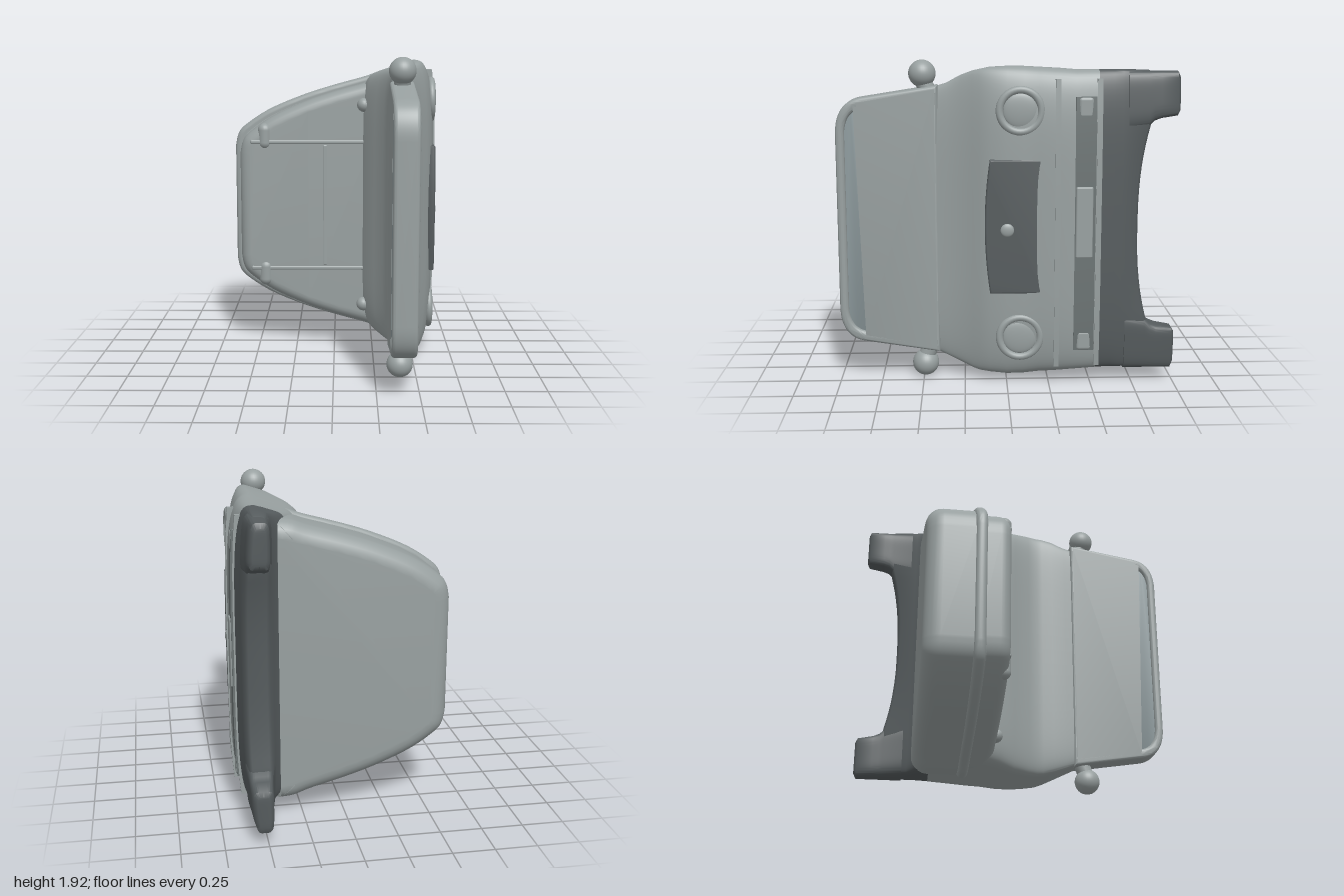
import * as THREE from 'three';
import { RoundedBoxGeometry } from 'three/addons/geometries/RoundedBoxGeometry.js';
import { toCreasedNormals } from 'three/addons/utils/BufferGeometryUtils.js';

const MID = 0.97; // height of the mirror plane of the fascia
const mat = (color) => new THREE.MeshStandardMaterial({ color });
const paint = mat(0x98a0a0), dark = mat(0x565c5e), trim = mat(0x6c7474), glass = mat(0x8f9c9f);

function add(group, name, geometry, material, x = 0, y = 0, z = 0) {
  const mesh = new THREE.Mesh(geometry, material);
  mesh.name = name;
  mesh.position.set(x, y, z);
  group.add(mesh);
  return mesh;
}

// How far the front bows back at height dy from the middle
const bow = (dy) => 0.03 * Math.abs(dy / 0.9) ** 4;

// Loft of rounded-rectangle sections stacked along z: [z, x0, x1, y0, y1].
// Sections narrow towards the back, so the flanks sweep into the body.
function loft(sections, power = 7, bend = () => 0) {
  const N = 112, pos = [], idx = [];
  const soft = (v) => (Math.abs(v) < 1e-9 ? 0 : Math.sign(v) * Math.abs(v) ** (2 / power));
  sections.forEach(([z, x0, x1, y0, y1], i) => {
    for (let j = 0; j < N; j++) {
      const q = Math.floor(j * 4 / N), t = j * 4 / N - q;
      const a = (q + t * t * t * (t * (6 * t - 15) + 10)) * Math.PI / 2;
      const across = soft(Math.cos(a));
      const dy = (y0 + y1) / 2 + soft(Math.sin(a)) * (y1 - y0) / 2 - MID;
      const x = (x0 + x1) / 2 + across * (x1 - x0) / 2 - bow(dy) * (1 + across) / 2;
      const y = MID + dy * (1 - 0.36 * Math.max(0, 0.5 - x));
      pos.push(x, y, z + bend(y, i));
      if (i < sections.length - 1) {
        const k = (j + 1) % N, p = i * N + j, r = i * N + k;
        idx.push(p, r, r + N, p, r + N, p + N);
      }
    }
  });
  // end caps as strips from the front side to the back side
  [0, sections.length - 1].forEach((s, end) => {
    const at = (j) => s * N + (j + N) % N;
    for (let j = -N / 4; j < N / 4; j++) {
      const a = at(j), b = at(j + 1), c = at(N / 2 - j - 1), d = at(N / 2 - j);
      idx.push(...(end ? [a, b, c, a, c, d] : [a, c, b, a, d, c]));
    }
  });
  const g = new THREE.BufferGeometry();
  g.setAttribute('position', new THREE.Float32BufferAttribute(pos, 3));
  g.setIndex(idx);
  return toCreasedNormals(g, 0.9);
}

function extrude(shape, depth, bevel) {
  const g = new THREE.ExtrudeGeometry(shape, {
    depth: depth - 2 * bevel, bevelThickness: bevel, bevelSize: bevel,
    bevelOffset: -bevel, bevelSegments: 6, curveSegments: 16,
  });
  g.translate(0, 0, bevel);
  return toCreasedNormals(g, 0.7);
}

// Plan of the tapering body; inset pulls every side inward
function bodyPlan(inset) {
  const half = [[0.4, 0.86], [0.3, 0.85], [0.2, 0.815], [0, 0.76], [-0.2, 0.695], [-0.42, 0.6], [-0.57, 0.5], [-0.62, 0.44], [-0.638, 0.36]];
  const side = new THREE.SplineCurve(half.map(([x, h]) => new THREE.Vector2(x, h))).getPoints(30);
  const left = side.map((p) => new THREE.Vector2(p.x + inset * Math.max(0, -p.x / 0.638), 0.945 + p.y - inset));
  const right = left.map((p) => new THREE.Vector2(p.x, 1.89 - p.y)).reverse();
  return new THREE.Shape([...left, ...right]);
}

// Tapering panel with rounded far corners, from z = near to z = far
function panel(near, far, hNear, hFar, r) {
  const s = new THREE.Shape(), dy = r * (hNear - hFar) / (far - near);
  s.moveTo(-near, hNear);
  s.lineTo(-far + r, hFar + dy);
  s.quadraticCurveTo(-far, hFar, -far, hFar - r * 1.3);
  s.lineTo(-far, -hFar + r * 1.3);
  s.quadraticCurveTo(-far, -hFar, -far + r, -hFar - dy);
  s.lineTo(-near, -hNear);
  s.closePath();
  return s;
}

// Upright bar whose ends bow back with the fascia
function bar(height, depth) {
  const g = new THREE.BoxGeometry(0.05, height, depth, 1, 28, 1);
  const p = g.attributes.position;
  for (let i = 0; i < p.count; i++) p.setX(i, p.getX(i) - bow(p.getY(i)));
  return toCreasedNormals(g, 0.5);
}

export function createModel() {
  const model = new THREE.Group();

  // Tapering body behind the fascia
  const body = new THREE.Group();
  body.name = 'body';
  model.add(body);
  add(body, 'lowerBody', extrude(bodyPlan(0.005), 0.4, 0.1), paint, 0, 0, -0.645);
  add(body, 'seamLip', extrude(bodyPlan(-0.015), 0.07, 0.03), paint, 0, 0, -0.355);
  add(body, 'upperBody', extrude(bodyPlan(0.025), 0.26, 0.065), paint, 0, 0, -0.395);
  for (const side of [-1, 1]) {
    add(body, 'roofRib', new RoundedBoxGeometry(0.85, 0.03, 0.03, 3, 0.012), paint, -0.12, 0.945 + side * 0.415, -0.145);
    add(body, 'cornerLump', new THREE.CapsuleGeometry(0.045, 0.08, 8, 20), paint, -0.45, 0.945 + side * 0.45, -0.165);
    add(body, 'hinge', new THREE.SphereGeometry(0.045, 16, 12), paint, 0.19, 0.945 + side * 0.655, -0.13);
  }
  add(body, 'crossRib', new RoundedBoxGeometry(0.035, 0.8, 0.025, 3, 0.012), paint, -0.06, 0.945, -0.145);

  // Front fascia and hood lip
  add(model, 'fascia', loft([
    [-0.53, 0.31, 0.63, 0.08, 1.87], [-0.4, 0.23, 0.645, 0.07, 1.87],
    [-0.28, 0.19, 0.65, 0.06, 1.88], [-0.19, 0.17, 0.633, 0.05, 1.885],
    [-0.1, 0.195, 0.628, 0.04, 1.89], [0, 0.255, 0.622, 0.04, 1.89],
    [0.1, 0.305, 0.602, 0.05, 1.885], [0.16, 0.325, 0.575, 0.055, 1.875],
    [0.2, 0.33, 0.55, 0.06, 1.87], [0.27, 0.33, 0.515, 0.08, 1.85],
    [0.35, 0.335, 0.485, 0.11, 1.81], [0.44, 0.345, 0.465, 0.15, 1.785],
  ]), paint);

  // Bumper with an arched lower edge and two feet
  const arch = (y, i) => (i < 2 ? -0.07 * Math.min(1, Math.abs((y - MID) / 0.6) ** 2.5) : 0);
  add(model, 'bumper', loft([
    [-0.765, 0.47, 0.575, 0.1, 1.855], [-0.75, 0.45, 0.592, 0.09, 1.865],
    [-0.67, 0.42, 0.606, 0.085, 1.87], [-0.62, 0.375, 0.615, 0.085, 1.87], [-0.52, 0.3, 0.63, 0.08, 1.87],
  ], 7, arch), dark);
  for (const side of [-1, 1]) {
    const rows = [[-1, 0.49, 0.575, 0.66, 0.86], [-0.985, 0.47, 0.595, 0.635, 0.89], [-0.89, 0.458, 0.602, 0.62, 0.89],
      [-0.85, 0.453, 0.602, 0.605, 0.89], [-0.82, 0.45, 0.604, 0.575, 0.89], [-0.7, 0.425, 0.61, 0.55, 0.89]];
    add(model, 'bumperFoot', loft(rows.map(([z, a, b, i, o]) =>
      [z, a, b, MID + (side > 0 ? i : -o), MID + (side > 0 ? o : -i)]), 5), dark);
  }
  for (const z of [-0.29, -0.53])
    add(model, 'bumperRidge', bar(1.7, 0.03), paint, z < -0.5 ? 0.612 : 0.632, MID, z);
  add(model, 'bumperStrip', bar(1.5, 0.12), trim, 0.621, MID, -0.45);
  add(model, 'plate', new RoundedBoxGeometry(0.04, 0.42, 0.1, 3, 0.01), paint, 0.635, 0.995, -0.445);
  for (const side of [-1, 1])
    add(model, 'indicator', new RoundedBoxGeometry(0.045, 0.12, 0.09, 3, 0.02), paint, 0.617, MID + side * 0.69, -0.45);

  // Grille with a bowed upper edge
  const grille = new THREE.Shape();
  grille.moveTo(0.22, -0.4);
  grille.lineTo(0.22, 0.39);
  grille.lineTo(-0.1, 0.39);
  grille.quadraticCurveTo(-0.16, 0, -0.1, -0.4);
  add(model, 'grille', extrude(grille, 0.05, 0.01), dark, 0.582, MID, 0).rotation.y = Math.PI / 2;
  add(model, 'grilleKnob', new THREE.SphereGeometry(0.04, 20, 14), paint, 0.63, 0.95, 0).scale.x = 0.4;

  // Headlights
  for (const side of [-1, 1]) {
    const lamp = new THREE.Group();
    lamp.name = 'headlight';
    lamp.position.set(0.611, MID + side * 0.67, -0.075);
    lamp.rotation.y = Math.PI / 2;
    model.add(lamp);
    add(lamp, 'lampRing', new THREE.TorusGeometry(0.12, 0.022, 12, 40), paint);
    add(lamp, 'lampLens', new THREE.SphereGeometry(0.1, 32, 16), paint).scale.z = 0.18;
  }

  // Windscreen: frame around a recessed pane
  const frame = panel(0.4, 0.998, 0.805, 0.71, 0.15);
  frame.holes.push(panel(0.43, 0.945, 0.74, 0.655, 0.11));
  const screen = new THREE.Group();
  screen.name = 'windscreen';
  screen.position.set(0.328, MID, 0);
  screen.rotation.y = Math.PI / 2;
  model.add(screen);
  add(screen, 'screenFrame', extrude(frame, 0.148, 0.022), paint);
  add(screen, 'screenPane', extrude(panel(0.415, 0.97, 0.765, 0.68, 0.13), 0.104, 0.004), glass, 0, 0, 0.022);

  // Round side mirrors on short stalks
  for (const side of [-1, 1]) {
    const y = 0.96 + side * 0.88;
    add(model, 'mirror', new THREE.SphereGeometry(0.08, 32, 20), paint, 0.4, y, 0.49);
    const stalk = add(model, 'mirrorStalk', new THREE.CylinderGeometry(0.05, 0.05, 0.18, 20), paint, 0.4, y - side * 0.1, 0.46);
    stalk.rotation.x = side * 0.4;
  }
  return model;
}
